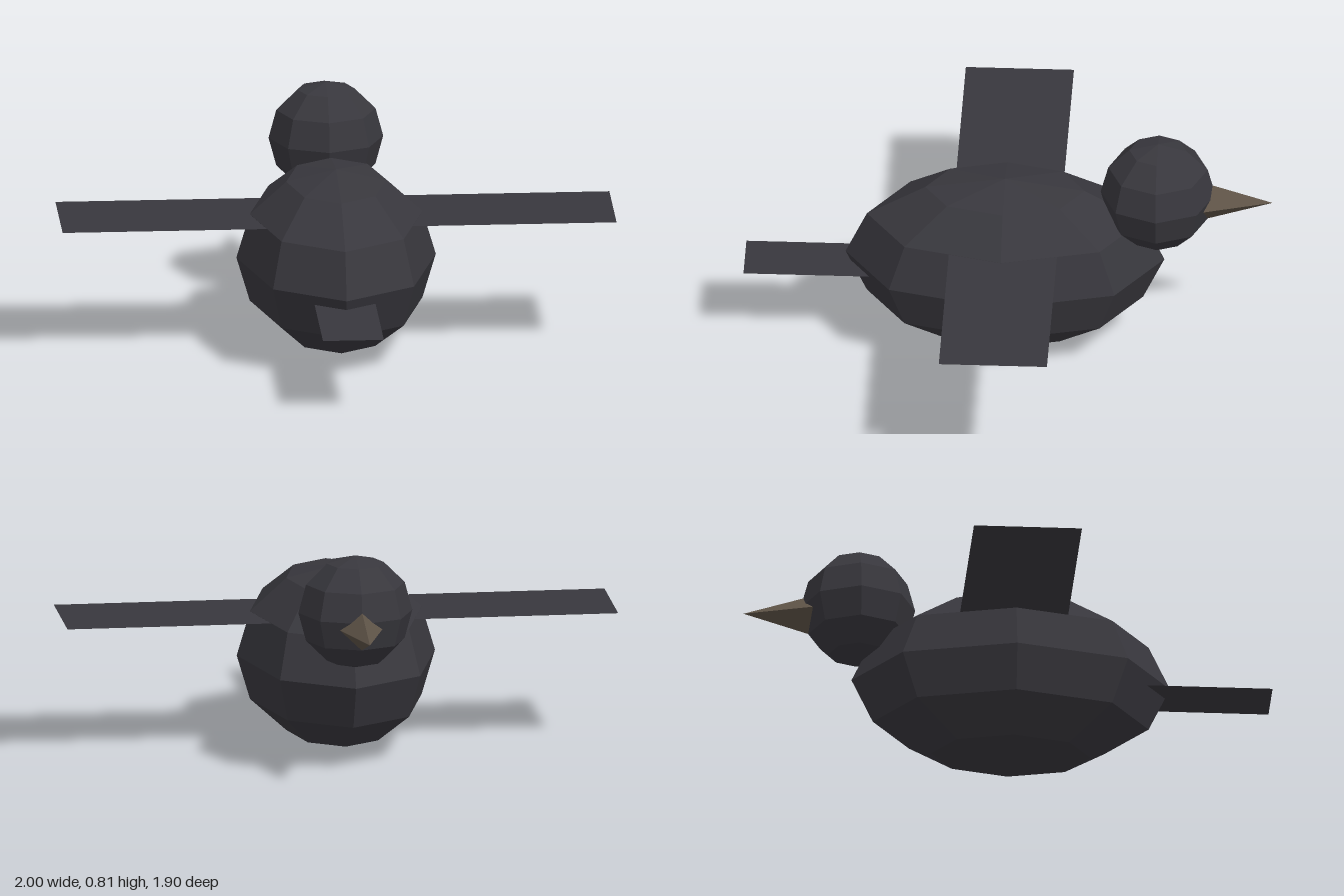
import * as THREE from 'three';

export function createModel() {
  const bird = new THREE.Group();
  bird.name = 'bird';

  const plumage = new THREE.MeshStandardMaterial({ color: 0x38373d, flatShading: true, side: THREE.DoubleSide });
  plumage.name = 'charcoal plumage';
  const horn = new THREE.MeshStandardMaterial({ color: 0x5e5347, flatShading: true });
  horn.name = 'brown beak';

  const add = (name, geometry, material, x, y, z) => {
    const mesh = new THREE.Mesh(geometry, material);
    mesh.name = name;
    mesh.position.set(x, y, z);
    bird.add(mesh);
    return mesh;
  };

  // Horizontal flat sheet
  const sheet = (width, depth) => new THREE.PlaneGeometry(width, depth).rotateX(-Math.PI / 2);

  // Faceted body and head
  add('body', new THREE.SphereGeometry(1, 8, 6).scale(0.36, 0.325, 0.575), plumage, 0, 0.325, 0.012);
  add('head', new THREE.SphereGeometry(0.207, 8, 6), plumage, 0, 0.607, -0.54);

  // Four-sided beak pointing to -z
  const beakLength = 0.265;
  add('beak', new THREE.ConeGeometry(0.083, beakLength, 4).rotateX(-Math.PI / 2), horn,
    0, 0.577, -0.953 + beakLength / 2);

  // Paper-thin wings, rooted inside the body
  for (const side of [1, -1]) {
    add(side > 0 ? 'leftWing' : 'rightWing', sheet(0.8, 0.39), plumage, side * 0.6, 0.487, 0.007);
  }

  // Paper-thin tail
  add('tail', sheet(0.22, 0.55), plumage, 0, 0.287, 0.675);

  return bird;
}
